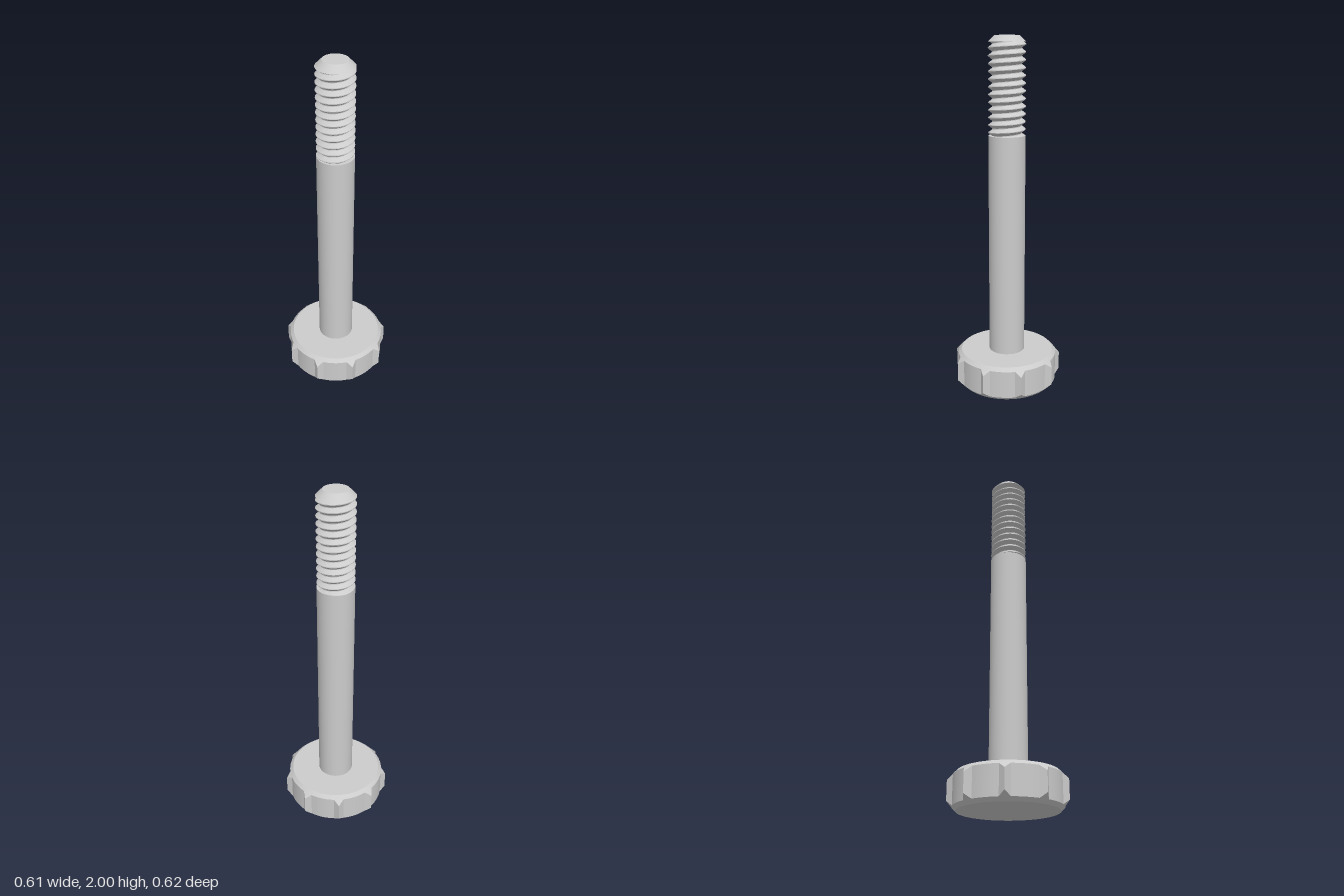
import * as THREE from 'three';
import { toCreasedNormals } from 'three/addons/utils/BufferGeometryUtils.js';

const TAU = Math.PI * 2;
const SHAFT_R = 0.103, ROOT_R = 0.081, PITCH = 0.0412;
const HEAD_H = 0.198, THREAD_Y0 = 1.465, THREAD_Y1 = 1.965;

// Skin closed rings of points (bottom to top, counter-clockwise from above).
function loft(rings) {
  const pos = [];
  const tri = (a, b, c) => {
    const area = b.clone().sub(a).cross(c.clone().sub(a)).length();
    if (area > 1e-9) for (const p of [a, b, c]) pos.push(p.x, p.y, p.z);
  };
  for (let i = 0; i + 1 < rings.length; i++) {
    const lo = rings[i], hi = rings[i + 1], n = lo.length;
    for (let j = 0; j < n; j++) {
      const k = (j + 1) % n;
      tri(lo[j], lo[k], hi[k]);
      tri(lo[j], hi[k], hi[j]);
    }
  }
  const geo = new THREE.BufferGeometry();
  geo.setAttribute('position', new THREE.Float32BufferAttribute(pos, 3));
  return toCreasedNormals(geo, 0.35);
}

const polar = (r, a, y) => new THREE.Vector3(r * Math.cos(a), y, -r * Math.sin(a));

// Round head with nine pointed grip ridges, chamfered by a 45 degree cone.
function headGeometry() {
  const flatR = 0.268, bodyR = 0.288, tipR = 0.315, half = 0.1, teeth = 9, step = TAU / teeth;
  const outline = []; // [radius, angle]
  for (let t = 0; t < teeth; t++) {
    const a0 = t * step;
    const corners = [[bodyR, a0 - half], [tipR, a0], [bodyR, a0 + half]].map(([r, a]) => polar(r, a, 0));
    for (let s = 0; s < 2; s++) {
      for (let i = 0; i < 4; i++) {
        const p = corners[s].clone().lerp(corners[s + 1], i / 4);
        outline.push([Math.hypot(p.x, p.z), Math.atan2(-p.z, p.x)]);
      }
    }
    for (let i = 0; i < 10; i++) outline.push([bodyR, a0 + half + (step - 2 * half) * i / 10]);
  }
  const ring = (radius, height) => outline.map(([r, a]) => polar(radius(r), a, height(r)));
  return loft([
    ring(() => 0, () => 0),
    ring(() => flatR, () => 0),
    ring(r => r, r => r - flatR),
    ring(r => r, r => HEAD_H - (r - flatR)),
    ring(() => flatR, () => HEAD_H),
    ring(() => 0, () => HEAD_H),
  ]);
}

// Right-handed helical V thread; rows follow the helix and stop at flat ends.
function threadGeometry() {
  const segs = 64, rings = [];
  const corners = [0, 0.1, 0.5, 0.6]; // root, flank, crest, flank
  const radiusAt = f => {
    if (f < 0.1) return ROOT_R;
    if (f < 0.5) return THREE.MathUtils.lerp(ROOT_R, SHAFT_R, (f - 0.1) / 0.4);
    if (f < 0.6) return SHAFT_R;
    return THREE.MathUtils.lerp(SHAFT_R, ROOT_R, (f - 0.6) / 0.4);
  };
  const turns = Math.ceil((THREAD_Y1 - THREAD_Y0) / PITCH);
  for (let k = -1; k <= turns; k++) {
    for (const c of corners) {
      const ring = [];
      // The seam column is repeated one pitch higher, so the sheet has an open edge.
      for (let j = 0; j <= segs; j++) {
        const raw = k + c + j / segs;
        const y = THREE.MathUtils.clamp(raw * PITCH, 0, THREAD_Y1 - THREAD_Y0);
        const u = y / PITCH - j / segs + 1e-7;
        ring.push(polar(radiusAt(u - Math.floor(u)), TAU * j / segs, THREAD_Y0 + y));
      }
      rings.push(ring);
    }
  }
  return loftOpen(rings);
}

// As loft, but without joining the last column to the first.
function loftOpen(rings) {
  const pos = [];
  const tri = (a, b, c) => {
    const area = b.clone().sub(a).cross(c.clone().sub(a)).length();
    if (area > 1e-9) for (const p of [a, b, c]) pos.push(p.x, p.y, p.z);
  };
  for (let i = 0; i + 1 < rings.length; i++) {
    const lo = rings[i], hi = rings[i + 1];
    for (let j = 0; j + 1 < lo.length; j++) {
      tri(lo[j], lo[j + 1], hi[j + 1]);
      tri(lo[j], hi[j + 1], hi[j]);
    }
  }
  const geo = new THREE.BufferGeometry();
  geo.setAttribute('position', new THREE.Float32BufferAttribute(pos, 3));
  return toCreasedNormals(geo, 0.35);
}

export function createModel() {
  const group = new THREE.Group();
  group.name = 'thumbScrew';
  const material = new THREE.MeshStandardMaterial({ color: 0xcccccc });
  const add = (name, geometry, y = 0) => {
    const mesh = new THREE.Mesh(geometry, material);
    mesh.name = name;
    mesh.position.set(-0.01, y, 0); // ridge spacing is odd, so the axis sits off centre
    group.add(mesh);
  };

  add('head', headGeometry());

  // Plain shank between head and thread
  const shankH = THREAD_Y0 - HEAD_H;
  add('shank', new THREE.CylinderGeometry(SHAFT_R, SHAFT_R, shankH, 64), HEAD_H + shankH / 2);

  add('thread', threadGeometry());

  // Chamfered end
  const tipH = 2 - THREAD_Y1;
  add('tip', new THREE.CylinderGeometry(0.068, SHAFT_R, tipH, 64), THREAD_Y1 + tipH / 2);

  return group;
}
